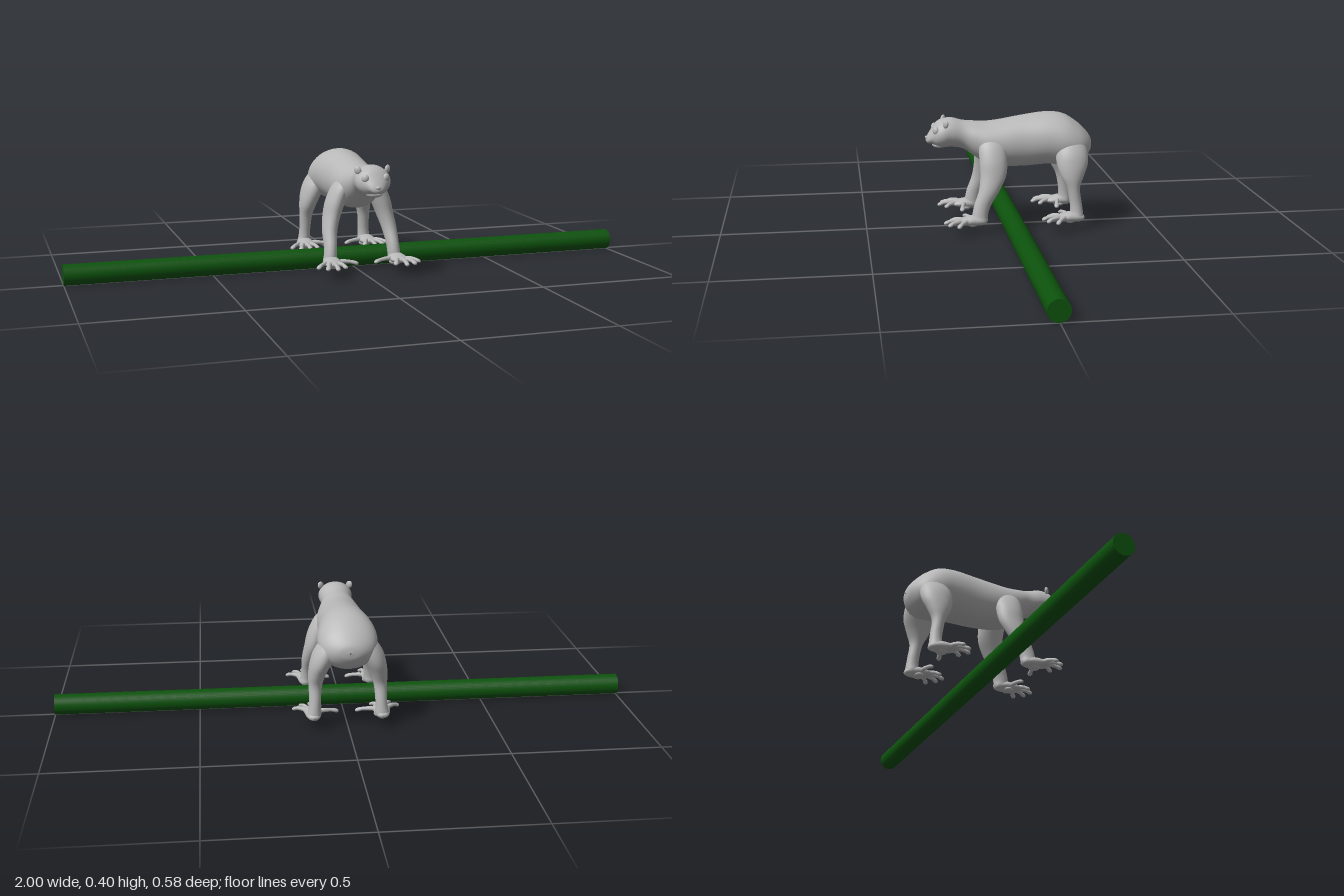
import * as THREE from 'three';

const fur = new THREE.MeshStandardMaterial({ color: 0xb8b8b8 });
fur.name = 'grey fur';
const green = new THREE.MeshStandardMaterial({ color: 0x0d520d });
green.name = 'green pole';

// Smooth skin through elliptical rings [x, y, z, radiusX, radiusV]; the axis is 'z' or 'y'
function loft(name, rings, axis, steps = 40, sides = 28) {
  const curve = (f) => new THREE.CatmullRomCurve3(rings.map(f), false, 'catmullrom', 0.5);
  const centres = curve((r) => new THREE.Vector3(r[0], r[1], r[2]));
  const radii = curve((r) => new THREE.Vector3(r[3], r[4], 0));
  const pos = [], index = [];
  for (let i = 0; i <= steps; i++) {
    const c = centres.getPoint(i / steps), r = radii.getPoint(i / steps);
    for (let j = 0; j < sides; j++) {
      const a = (j / sides) * Math.PI * 2;
      const u = Math.cos(a) * Math.max(r.x, 0.0005), v = Math.sin(a) * Math.max(r.y, 0.0005);
      if (axis === 'z') pos.push(c.x + u, c.y + v, c.z);
      else pos.push(c.x + u, c.y, c.z - v);
      if (i < steps) {
        const p = i * sides + j, q = i * sides + (j + 1) % sides;
        index.push(p, q, p + sides, q, q + sides, p + sides);
      }
    }
  }
  const g = new THREE.BufferGeometry();
  g.setAttribute('position', new THREE.Float32BufferAttribute(pos, 3));
  g.setIndex(index);
  g.computeVertexNormals();
  const mesh = new THREE.Mesh(g, fur);
  mesh.name = name;
  return mesh;
}

function blob(name, x, y, z, rx, ry, rz) {
  const mesh = new THREE.Mesh(new THREE.SphereGeometry(1, 24, 16), fur);
  mesh.name = name;
  mesh.position.set(x, y, z);
  mesh.scale.set(rx, ry, rz);
  return mesh;
}

// Foot with a heel, a palm and five spread toes
function foot(name, s, dz) {
  const g = new THREE.Group();
  g.name = name;
  g.add(loft('palm', [
    [s * 0.117, 0.046, 0.090, 0.002, 0.002],
    [s * 0.117, 0.046, 0.096, 0.016, 0.010],
    [s * 0.117, 0.048, 0.115, 0.025, 0.016],
    [s * 0.117, 0.050, 0.140, 0.029, 0.018],
    [s * 0.119, 0.049, 0.165, 0.031, 0.013],
    [s * 0.121, 0.049, 0.182, 0.026, 0.009],
    [s * 0.122, 0.049, 0.192, 0.002, 0.002]], 'z', 24, 20));
  g.add(blob('palmPad', s * 0.112, 0.037, 0.14, 0.022, 0.011, 0.02));
  const toes = [ // base x, base z, tip x, tip z
    [0.136, 0.158, 0.184, 0.198], [0.132, 0.172, 0.157, 0.229], [0.121, 0.175, 0.122, 0.241],
    [0.110, 0.172, 0.086, 0.218], [0.106, 0.145, 0.028, 0.162]];
  for (const [bx, bz, tx, tz] of toes) {
    const L = Math.hypot(tx - bx, tz - bz);
    const toe = loft('toe', [
      [0, 0, 0, 0.008, 0.008], [0, 0.002, L * 0.35, 0.0075, 0.0075],
      [0, 0, L * 0.65, 0.0065, 0.0065], [0, -0.004, L - 0.011, 0.0085, 0.007],
      [0, -0.006, L - 0.003, 0.006, 0.005], [0, -0.006, L, 0.0005, 0.0005]], 'z', 18, 12);
    toe.position.set(s * bx, 0.050, bz);
    toe.rotation.y = Math.atan2(s * (tx - bx), tz - bz);
    g.add(toe);
  }
  g.position.z = dz;
  return g;
}

const frontLegRings = [
  [0.115, 0.032, 0.118, 0.010, 0.012], [0.117, 0.044, 0.115, 0.023, 0.025],
  [0.115, 0.065, 0.115, 0.022, 0.027], [0.112, 0.100, 0.106, 0.022, 0.029],
  [0.107, 0.150, 0.082, 0.026, 0.036], [0.095, 0.200, 0.066, 0.030, 0.045],
  [0.080, 0.250, 0.064, 0.034, 0.048], [0.060, 0.300, 0.065, 0.030, 0.045],
  [0.045, 0.335, 0.065, 0.010, 0.020]];
const hindLegRings = [
  [0.115, 0.032, -0.225, 0.010, 0.012], [0.116, 0.045, -0.222, 0.024, 0.024],
  [0.114, 0.070, -0.222, 0.021, 0.022], [0.112, 0.100, -0.219, 0.020, 0.021],
  [0.110, 0.150, -0.211, 0.023, 0.023], [0.104, 0.190, -0.208, 0.030, 0.040],
  [0.092, 0.230, -0.210, 0.037, 0.054], [0.075, 0.270, -0.210, 0.042, 0.056],
  [0.055, 0.310, -0.210, 0.035, 0.045], [0.040, 0.340, -0.210, 0.010, 0.020]];

export function createModel() {
  const model = new THREE.Group();
  model.name = 'animalOverPole';

  // Pole lying across the ground
  const pole = new THREE.Mesh(new THREE.CylinderGeometry(0.0355, 0.0355, 2, 40), green);
  pole.name = 'pole';
  pole.rotation.z = Math.PI / 2;
  pole.position.set(0, 0.0355, 0.002);
  model.add(pole);

  const animal = new THREE.Group();
  animal.name = 'animal';
  model.add(animal);

  // Rump, trunk, neck and head in one skin, from the tail end to the muzzle
  animal.add(loft('body', [
    [0, 0.287, -0.292, 0.002, 0.002], [0, 0.286, -0.286, 0.040, 0.026],
    [0, 0.285, -0.265, 0.075, 0.054], [0, 0.290, -0.235, 0.095, 0.076],
    [0, 0.301, -0.190, 0.101, 0.091], [0, 0.307, -0.130, 0.094, 0.092],
    [0, 0.300, -0.050, 0.085, 0.090], [0, 0.295, 0.030, 0.083, 0.082],
    [0, 0.298, 0.080, 0.078, 0.074], [0, 0.312, 0.120, 0.066, 0.062],
    [0, 0.328, 0.160, 0.054, 0.050], [0, 0.337, 0.200, 0.058, 0.051],
    [0, 0.335, 0.230, 0.060, 0.050], [0, 0.332, 0.250, 0.053, 0.043],
    [0, 0.325, 0.268, 0.036, 0.027], [0, 0.315, 0.283, 0.020, 0.014],
    [0, 0.312, 0.289, 0.002, 0.002]], 'z', 96, 40));

  // Face
  animal.add(blob('lowerJaw', 0, 0.294, 0.242, 0.029, 0.011, 0.025));
  animal.add(blob('nose', 0, 0.321, 0.286, 0.009, 0.006, 0.006));

  for (const s of [1, -1]) {
    const side = s > 0 ? 'left' : 'right';
    const mirror = (rings) => rings.map(([x, ...rest]) => [s * x, ...rest]);

    const eye = blob(side + 'Eye', s * 0.037, 0.350, 0.257, 0.013, 0.014, 0.009);
    eye.rotation.y = s * 0.6;
    animal.add(eye);
    const ear = blob(side + 'Ear', s * 0.052, 0.374, 0.224, 0.012, 0.014, 0.007);
    ear.rotation.set(0, s * 0.6, -s * 0.4);
    animal.add(ear);

    animal.add(loft(side + 'FrontLeg', mirror(frontLegRings), 'y'));
    animal.add(loft(side + 'HindLeg', mirror(hindLegRings), 'y'));
    animal.add(foot(side + 'FrontFoot', s, 0));
    animal.add(foot(side + 'HindFoot', s, -0.34));
  }
  return model;
}
